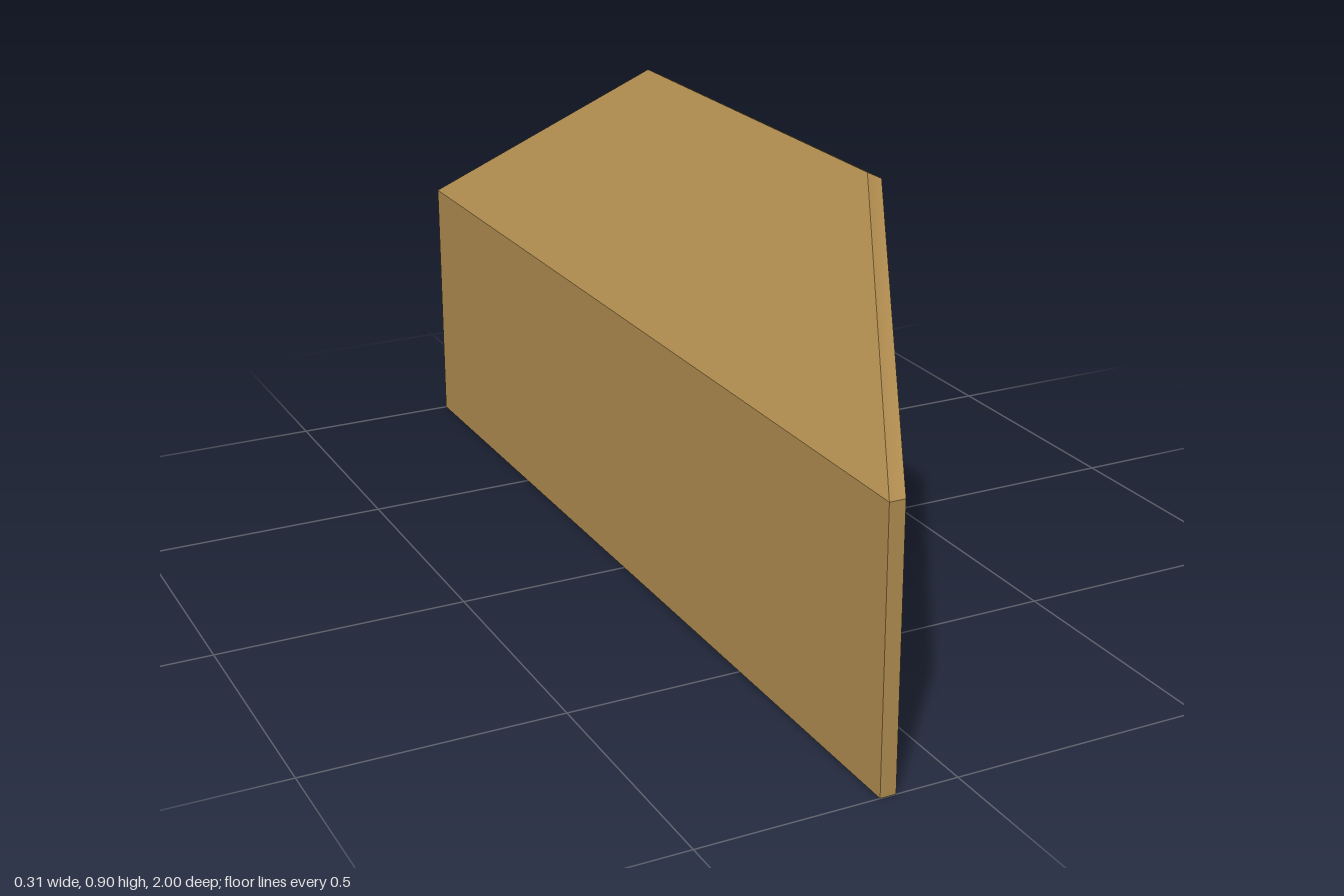
import * as THREE from 'three';

const tan = new THREE.MeshStandardMaterial({ color: 0xb08c4f });
tan.name = 'tan';

// Slab lofted between two edges; each edge gives its outer and inner [x, y] and half length in z
function slab(name, bottom, top) {
  const geometry = new THREE.BoxGeometry(2, 2, 2);
  const p = geometry.attributes.position;
  for (let i = 0; i < p.count; i++) {
    const edge = p.getY(i) > 0 ? top : bottom;
    const [x, y] = p.getX(i) > 0 ? edge.inner : edge.outer;
    p.setXYZ(i, x, y, p.getZ(i) * edge.half);
  }
  geometry.computeVertexNormals();
  const mesh = new THREE.Mesh(geometry, tan);
  mesh.name = name;
  return mesh;
}

export function createModel() {
  const group = new THREE.Group();
  group.name = 'bentPanel';

  const foot = { outer: [-0.153, 0], inner: [-0.122, 0], half: 1 };
  const bend = { outer: [-0.153, 0.536], inner: [-0.122, 0.536], half: 1 };
  const rim = { outer: [0.123, 0.905], inner: [0.153, 0.89], half: 0.45 };

  // Upright wall, then the tapered panel leaning over it
  group.add(slab('uprightPanel', foot, bend), slab('slopedPanel', bend, rim));
  return group;
}
